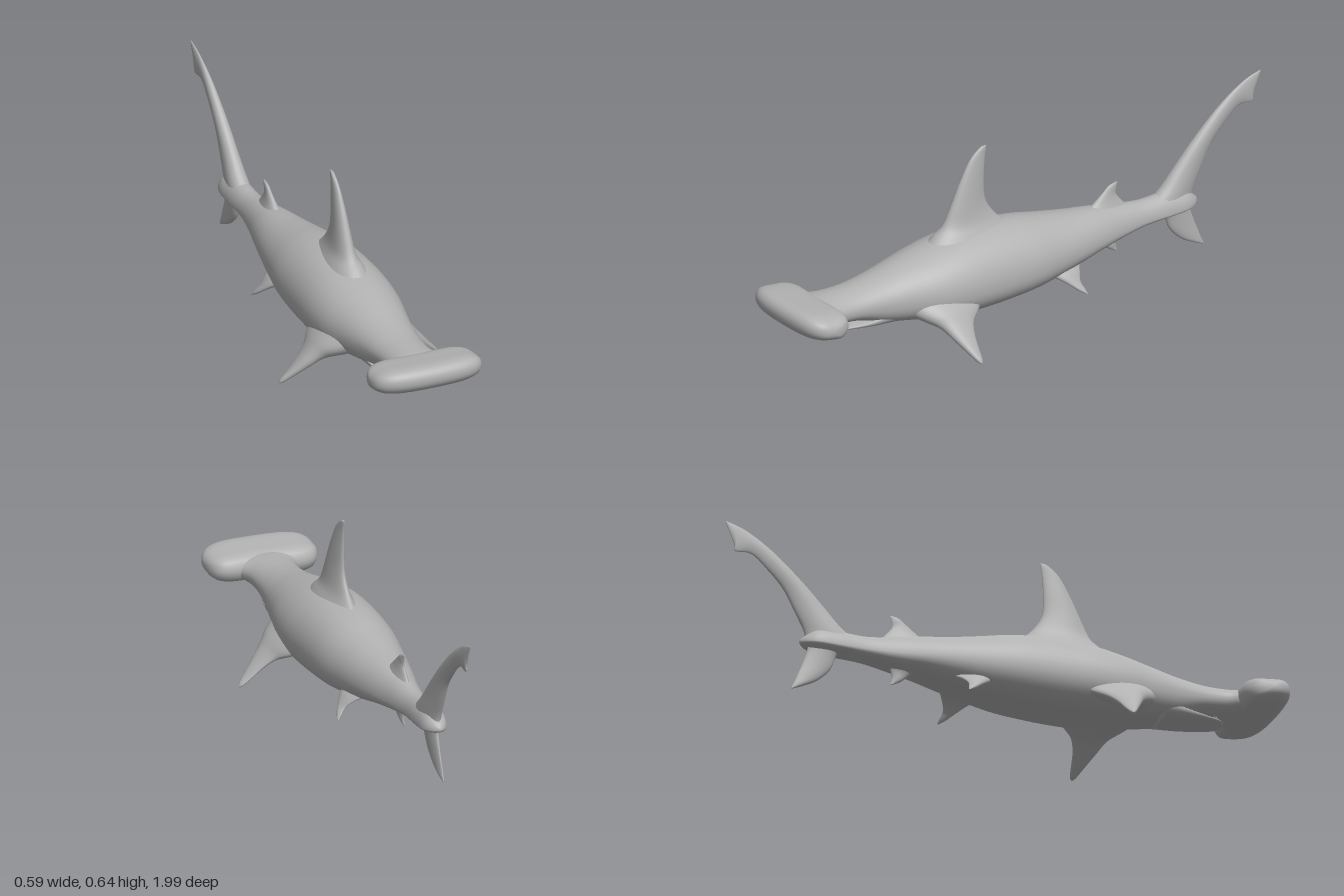
import * as THREE from 'three';

const V = (x, y, z) => new THREE.Vector3(x, y, z);

// Smoothly resamples a list of vectors
function resample(points, count) {
  const curve = new THREE.CatmullRomCurve3(points, false, 'catmullrom', 0.5);
  return Array.from({ length: count + 1 }, (_, i) => curve.getPoint(i / count));
}

// Skins closed rings of equal length and closes both ends; faces point outwards
function loft(rings) {
  const n = rings[0].length, pos = [], idx = [];
  const put = (p) => pos.push(p.x, p.y, p.z);
  rings.forEach((ring) => ring.forEach(put));
  for (let r = 0; r < rings.length - 1; r++) {
    for (let i = 0; i < n; i++) {
      const j = (i + 1) % n, a = r * n, b = a + n;
      idx.push(a + i, a + j, b + j, a + i, b + j, b + i);
    }
  }
  [0, rings.length - 1].forEach((r, end) => {
    const c = V(0, 0, 0);
    rings[r].forEach((p) => c.addScaledVector(p, 1 / n));
    put(c);
    const k = pos.length / 3 - 1;
    for (let i = 0; i < n; i++) {
      const j = (i + 1) % n;
      if (end) idx.push(k, r * n + i, r * n + j);
      else idx.push(k, r * n + j, r * n + i);
    }
  });
  // Signed volume tells whether the winding must be flipped
  const at = (i) => V(pos[3 * i], pos[3 * i + 1], pos[3 * i + 2]);
  let volume = 0;
  for (let t = 0; t < idx.length; t += 3) volume += at(idx[t]).dot(at(idx[t + 1]).cross(at(idx[t + 2])));
  if (volume < 0) idx.reverse();
  const g = new THREE.BufferGeometry();
  g.setAttribute('position', new THREE.Float32BufferAttribute(pos, 3));
  g.setIndex(idx);
  g.computeVertexNormals();
  return g;
}

// Rows: [z, top, bottom, widest height, half width]
function trunk(rows, steps) {
  const a = resample(rows.map((r) => V(r[0], r[1], r[2])), steps);
  const b = resample(rows.map((r) => V(r[3], r[4], 0)), steps);
  return loft(a.map((p, k) => Array.from({ length: 48 }, (_, i) => {
    const t = (i / 48) * Math.PI * 2, c = Math.cos(t), s = Math.sin(t);
    const mid = b[k].x, e = s < 0 ? 0.85 : 1;
    const x = b[k].y * Math.sign(c) * Math.abs(c) ** e;
    return V(x, s > 0 ? mid + (p.y - mid) * s : mid - (mid - p.z) * Math.abs(s) ** e, p.x);
  })));
}

// Rows: [leading point, trailing point, half thickness], from root to tip
function fin(rows, normal, steps = 28) {
  const lead = resample(rows.map((r) => V(...r[0])), steps);
  const trail = resample(rows.map((r) => V(...r[1])), steps);
  const thick = resample(rows.map((r) => V(r[2], 0, 0)), steps);
  const n = V(...normal).normalize();
  return loft(lead.map((p, k) => Array.from({ length: 28 }, (_, i) => {
    const a = (i / 28) * Math.PI * 2, along = (1 - Math.cos(a)) / 2;
    return p.clone().lerp(trail[k], along)
      .addScaledVector(n, thick[k].x * Math.sin(a) * (1.15 - 0.5 * along));
  })));
}

// Fin in the middle plane; rows: [leading z, y, trailing z, y, half thickness]
const midFin = (rows) => fin(rows.map(([z, y, tz, ty, t]) => [[0, y, z], [0, ty, tz], t]), [1, 0, 0]);

export function createModel() {
  const group = new THREE.Group();
  const skin = new THREE.MeshStandardMaterial({ color: 0xb2b2b2 });
  skin.name = 'grey skin';
  const add = (name, geometry) => {
    const mesh = new THREE.Mesh(geometry, skin);
    mesh.name = name;
    group.add(mesh);
    return mesh;
  };

  add('body', trunk([
    [0.88, 0.268, 0.185, 0.23, 0.125], [0.83, 0.272, 0.176, 0.225, 0.108],
    [0.78, 0.274, 0.17, 0.22, 0.09], [0.7, 0.277, 0.16, 0.215, 0.089],
    [0.6, 0.292, 0.128, 0.21, 0.103], [0.5, 0.315, 0.11, 0.205, 0.125],
    [0.4, 0.336, 0.095, 0.2, 0.148], [0.3, 0.353, 0.083, 0.2, 0.157],
    [0.2, 0.36, 0.08, 0.2, 0.156], [0.1, 0.357, 0.083, 0.2, 0.152],
    [0, 0.345, 0.09, 0.2, 0.144], [-0.1, 0.325, 0.105, 0.2, 0.126],
    [-0.2, 0.307, 0.125, 0.2, 0.107], [-0.3, 0.294, 0.147, 0.2, 0.085],
    [-0.4, 0.278, 0.163, 0.2, 0.062], [-0.5, 0.264, 0.178, 0.202, 0.048],
    [-0.6, 0.268, 0.184, 0.202, 0.048], [-0.67, 0.262, 0.188, 0.204, 0.045],
    [-0.71, 0.235, 0.195, 0.207, 0.028], [-0.73, 0.217, 0.205, 0.21, 0.006],
  ], 100));

  // Hammer: one rounded section swept sideways and closed at the tips
  const section = new THREE.CatmullRomCurve3([
    V(0, 0.262, 0.995), V(0, 0.283, 0.975), V(0, 0.281, 0.9), V(0, 0.266, 0.83),
    V(0, 0.222, 0.815), V(0, 0.184, 0.84), V(0, 0.184, 0.9), V(0, 0.203, 0.97), V(0, 0.23, 0.994),
  ], true).getPoints(40).slice(0, 40);
  add('hammerHead', loft(Array.from({ length: 49 }, (_, k) => {
    const u = -Math.cos((k / 48) * Math.PI), scale = Math.max(0.01, (1 - Math.abs(u) ** 5) ** 0.42);
    const sweep = -0.014 * u * u;
    return section.map((p) => V(0.2 * u, 0.232 + (p.y - 0.232) * scale, 0.908 + sweep * scale + (p.z - 0.908) * scale));
  })));

  // Underslung jaw with a small arc of teeth
  add('lowerJaw', trunk([
    [0.788, 0.152, 0.146, 0.149, 0.02], [0.77, 0.155, 0.142, 0.15, 0.045],
    [0.72, 0.158, 0.136, 0.15, 0.062], [0.65, 0.165, 0.127, 0.155, 0.078],
    [0.55, 0.18, 0.117, 0.17, 0.09],
  ], 24));
  for (let i = 0; i < 11; i++) {
    const a = ((i - 5) / 5) * 1.1;
    const tooth = add('tooth', new THREE.ConeGeometry(0.004, 0.016, 6));
    tooth.position.set(0.042 * Math.sin(a), 0.16, 0.735 + 0.038 * Math.cos(a));
  }

  add('dorsalFin', midFin([
    [0.4, 0.31, 0.0, 0.31, 0.085], [0.355, 0.355, 0.055, 0.345, 0.058],
    [0.315, 0.39, 0.105, 0.39, 0.037], [0.28, 0.46, 0.142, 0.45, 0.027],
    [0.245, 0.535, 0.147, 0.53, 0.019], [0.205, 0.605, 0.143, 0.6, 0.011],
    [0.165, 0.64, 0.137, 0.638, 0.006], [0.146, 0.646, 0.138, 0.645, 0.002],
  ]));
  add('rearDorsalFin', midFin([
    [-0.27, 0.275, -0.45, 0.255, 0.03], [-0.31, 0.305, -0.422, 0.287, 0.017],
    [-0.345, 0.333, -0.4, 0.315, 0.01], [-0.37, 0.353, -0.4, 0.338, 0.007],
    [-0.398, 0.361, -0.406, 0.359, 0.002],
  ]));
  add('analFin', midFin([
    [-0.29, 0.18, -0.42, 0.185, 0.03], [-0.335, 0.148, -0.405, 0.16, 0.015],
    [-0.365, 0.123, -0.398, 0.132, 0.009], [-0.397, 0.105, -0.404, 0.106, 0.002],
  ]));
  add('upperTailLobe', midFin([
    [-0.52, 0.23, -0.71, 0.21, 0.04], [-0.585, 0.282, -0.715, 0.25, 0.036],
    [-0.64, 0.342, -0.75, 0.32, 0.029], [-0.72, 0.427, -0.79, 0.395, 0.023],
    [-0.81, 0.511, -0.845, 0.456, 0.017], [-0.875, 0.56, -0.905, 0.507, 0.012],
    [-0.93, 0.592, -0.962, 0.507, 0.009], [-0.965, 0.605, -0.967, 0.535, 0.007],
    [-0.996, 0.613, -0.997, 0.607, 0.002],
  ]));
  add('lowerTailLobe', midFin([
    [-0.55, 0.225, -0.71, 0.23, 0.032], [-0.595, 0.185, -0.703, 0.19, 0.022],
    [-0.62, 0.125, -0.72, 0.135, 0.016], [-0.665, 0.078, -0.738, 0.09, 0.012],
    [-0.715, 0.05, -0.752, 0.055, 0.008], [-0.757, 0.032, -0.762, 0.034, 0.002],
  ]));

  // Paired fins, mirrored left and right
  for (const s of [1, -1]) {
    const side = s > 0 ? 'left' : 'right';
    const row = ([x, y, z, tx, ty, tz, t]) => [[s * x, y, z], [s * tx, ty, tz], t];
    add(side + 'PectoralFin', fin([
      [0.07, 0.17, 0.54, 0.09, 0.17, 0.21, 0.06], [0.135, 0.14, 0.485, 0.145, 0.13, 0.27, 0.042],
      [0.172, 0.115, 0.445, 0.178, 0.105, 0.315, 0.029], [0.21, 0.08, 0.42, 0.215, 0.073, 0.336, 0.021],
      [0.25, 0.043, 0.395, 0.252, 0.038, 0.345, 0.014], [0.28, 0.015, 0.376, 0.281, 0.013, 0.352, 0.009],
      [0.291, 0.005, 0.366, 0.291, 0.004, 0.36, 0.003],
    ].map(row), [s * 0.68, 0.73, 0]));
    add(side + 'PelvicFin', fin([
      [0.06, 0.15, -0.04, 0.055, 0.15, -0.21, 0.03], [0.1, 0.125, -0.085, 0.095, 0.125, -0.182, 0.017],
      [0.124, 0.1, -0.12, 0.12, 0.1, -0.168, 0.01], [0.14, 0.077, -0.148, 0.138, 0.077, -0.174, 0.007],
      [0.149, 0.062, -0.172, 0.149, 0.062, -0.178, 0.002],
    ].map(row), [s * 0.8, 0.6, 0]));
  }
  return group;
}
